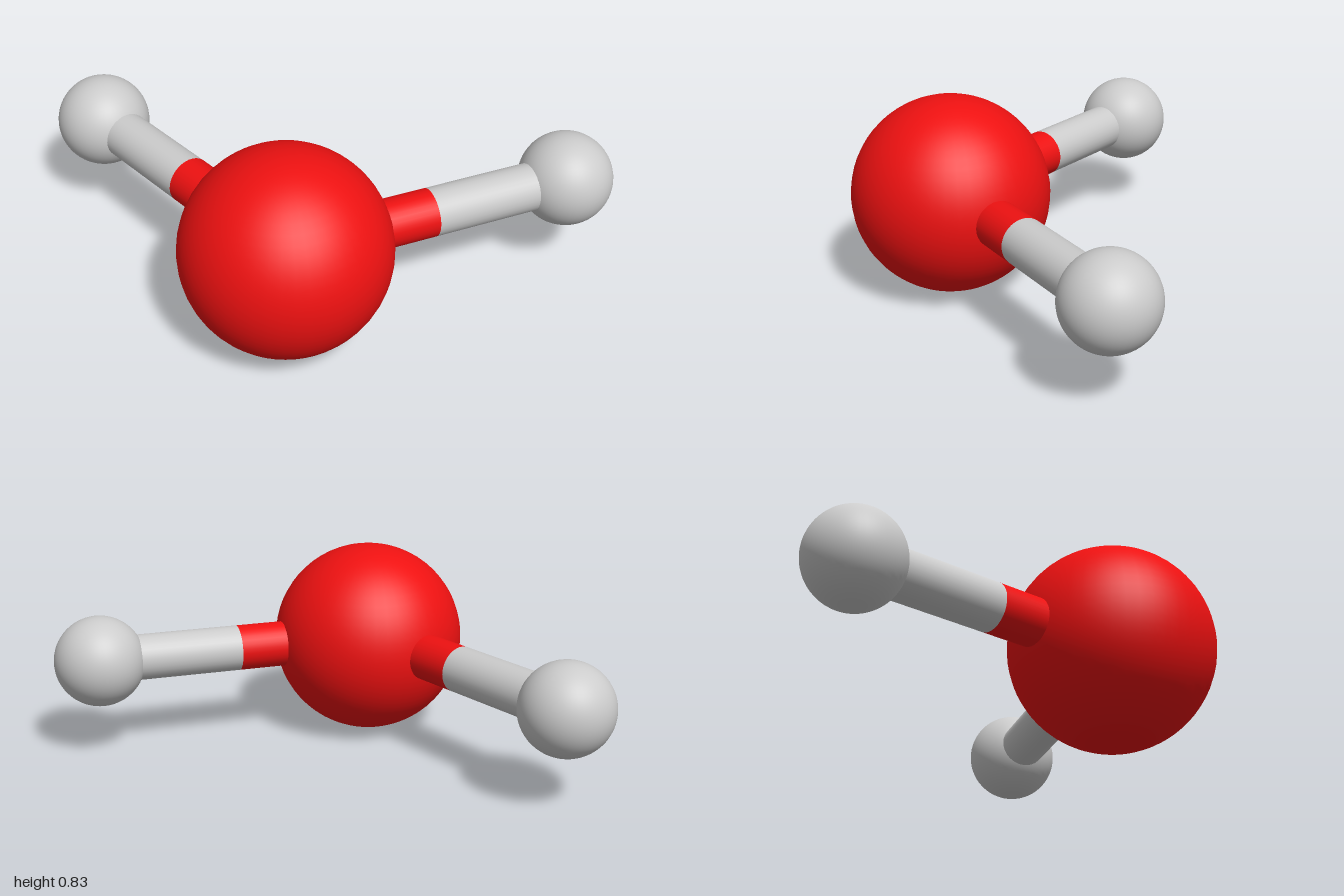
import * as THREE from 'three';

const RED = new THREE.MeshStandardMaterial({ color: 0xee1111 });
const GREY = new THREE.MeshStandardMaterial({ color: 0xcccccc });

function ball(name, center, radius, material) {
  const mesh = new THREE.Mesh(new THREE.SphereGeometry(radius, 48, 32), material);
  mesh.name = name;
  mesh.position.copy(center);
  return mesh;
}

// Straight round rod between two points
function rod(name, from, to, material) {
  const dir = to.clone().sub(from);
  const mesh = new THREE.Mesh(new THREE.CylinderGeometry(0.098, 0.098, dir.length(), 32), material);
  mesh.name = name;
  mesh.position.copy(from).lerp(to, 0.5);
  mesh.quaternion.setFromUnitVectors(new THREE.Vector3(0, 1, 0), dir.normalize());
  return mesh;
}

export function createModel() {
  const group = new THREE.Group();
  group.name = 'molecule';

  // Large central atom
  const y = 0.417;
  const center = new THREE.Vector3(-0.403, y, 0.457);
  group.add(ball('centralAtom', center, 0.414, RED));

  // Two outer atoms, each on a bond that changes colour halfway
  const outer = {
    left: new THREE.Vector3(0.807, y, 0.457),
    back: new THREE.Vector3(-0.807, y, -0.68),
  };
  for (const [side, end] of Object.entries(outer)) {
    const middle = center.clone().lerp(end, 0.5);
    group.add(
      ball(side + 'OuterAtom', end, 0.193, GREY),
      rod(side + 'InnerBond', center, middle, RED),
      rod(side + 'OuterBond', middle, end, GREY),
    );
  }
  return group;
}
